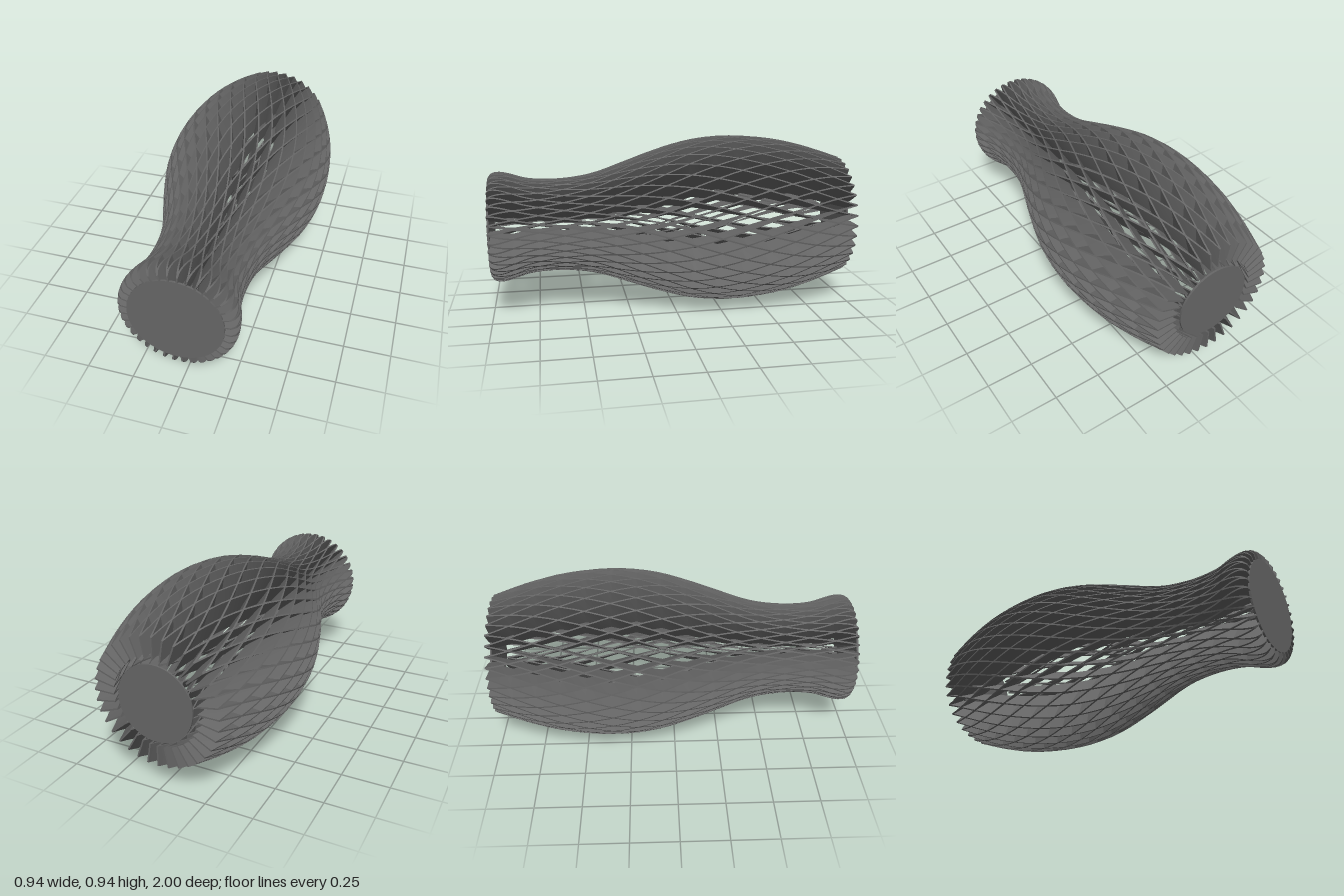
import * as THREE from 'three';

const BLADES = 36;        // blades in each twist direction
const TWIST = 7.5 * 2 * Math.PI / BLADES; // turn from back to front
const DEPTH = 0.11, THICK = 0.008, STEPS = 48;

// Outer radius of the vase along z, back to front
const profile = new THREE.CatmullRomCurve3([
  [-1, 0.335], [-0.8, 0.402], [-0.6, 0.449], [-0.33, 0.472], [-0.1, 0.45], [0.1, 0.394],
  [0.25, 0.342], [0.4, 0.29], [0.52, 0.265], [0.67, 0.255], [0.8, 0.266],
  [0.88, 0.29], [0.94, 0.302], [0.98, 0.295], [1, 0.272],
].map(([z, r]) => new THREE.Vector3(r, 0, z)));

// One upright strip, swept along the profile while turning round the axis
function bladeGeometry(direction) {
  const pos = [], index = [];
  const rings = [];
  for (let i = 0; i <= STEPS; i++) {
    const p = profile.getPoint(i / STEPS);
    const angle = direction * TWIST * (p.z + 1) / 2;
    const c = Math.cos(angle), s = Math.sin(angle);
    rings.push([[0, -1], [0, 1], [-DEPTH, 1], [-DEPTH, -1]].map(([dr, side]) => {
      const r = p.x + dr, t = side * THICK / 2;
      return [r * c - t * s, r * s + t * c, p.z];
    }));
  }
  // Each long side has its own vertices, so the edges stay sharp
  for (let k = 0; k < 4; k++) {
    const start = pos.length / 3;
    rings.forEach((ring) => pos.push(...ring[k], ...ring[(k + 1) % 4]));
    for (let i = 0; i < STEPS; i++) {
      const a = start + i * 2;
      index.push(a, a + 1, a + 3, a, a + 3, a + 2);
    }
  }
  // End caps
  const cap = pos.length / 3;
  pos.push(...rings[0].flat(), ...rings[STEPS].flat());
  index.push(cap, cap + 2, cap + 1, cap, cap + 3, cap + 2);
  index.push(cap + 4, cap + 5, cap + 6, cap + 4, cap + 6, cap + 7);

  const g = new THREE.BufferGeometry();
  g.setAttribute('position', new THREE.Float32BufferAttribute(pos, 3));
  g.setIndex(index);
  g.computeVertexNormals();
  return g;
}

export function createModel() {
  const model = new THREE.Group();
  model.name = 'latticeVase';
  const material = new THREE.MeshStandardMaterial({ color: 0x666666 });

  // Two crossing families of twisted blades
  for (const [name, direction] of [['leftTwistBlades', 1], ['rightTwistBlades', -1]]) {
    const family = new THREE.Group();
    family.name = name;
    const geometry = bladeGeometry(direction);
    for (let i = 0; i < BLADES; i++) {
      const blade = new THREE.Mesh(geometry, material);
      blade.name = 'blade';
      blade.rotation.z = i * 2 * Math.PI / BLADES;
      family.add(blade);
    }
    model.add(family);
  }

  // Round plates closing the two ends
  for (const [name, radius, z] of [['frontPlate', 0.242, 0.995], ['backPlate', 0.2, -0.995]]) {
    const plate = new THREE.Mesh(new THREE.CylinderGeometry(radius, radius, 0.01, 64), material);
    plate.name = name;
    plate.rotation.x = Math.PI / 2;
    plate.position.z = z;
    model.add(plate);
  }

  model.position.y = 0.472;
  return model;
}
